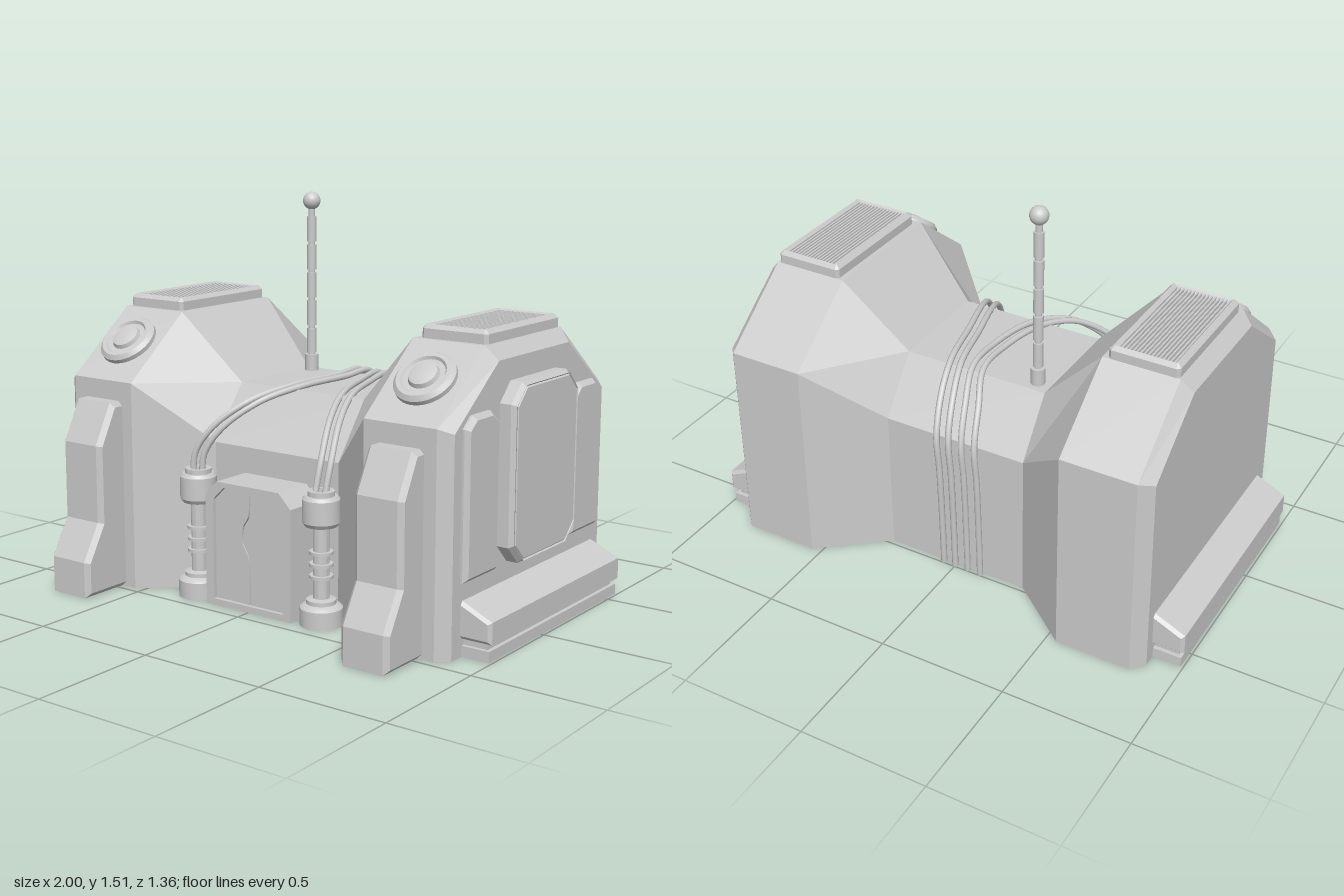
import * as THREE from 'three';
import { toCreasedNormals } from 'three/addons/utils/BufferGeometryUtils.js';

const mat = new THREE.MeshStandardMaterial({ color: 0xcccccc, side: THREE.DoubleSide });
const flat = new THREE.MeshStandardMaterial({ color: 0xcccccc, side: THREE.DoubleSide, flatShading: true });

function add(parent, name, geometry, pos = [0, 0, 0], material = mat) {
  const mesh = new THREE.Mesh(geometry, material);
  mesh.name = name;
  mesh.position.set(...pos);
  parent.add(mesh);
  return mesh;
}

const v2 = (pts) => pts.map(([x, y]) => new THREE.Vector2(x, y));

// Extruded outline with chamfered rims; spans z = -bevel .. depth
function slab(pts, depth, bevel = 0, holes = []) {
  const shape = new THREE.Shape(v2(pts));
  for (const h of holes) shape.holes.push(new THREE.Path(v2(h)));
  return new THREE.ExtrudeGeometry(shape, {
    depth: depth - bevel, bevelEnabled: bevel > 0, bevelSegments: 1,
    bevelSize: bevel, bevelThickness: bevel, bevelOffset: -bevel,
  });
}

const rect = (x0, y0, x1, y1) => [[x0, y0], [x1, y0], [x1, y1], [x0, y1]];

// Rectangle with four cut corners
const cutRect = (x0, y0, x1, y1, c) => [[x0 + c, y0], [x1 - c, y0], [x1, y0 + c], [x1, y1 - c],
  [x1 - c, y1], [x0 + c, y1], [x0, y1 - c], [x0, y0 + c]];

const lathe = (pts, segments = 32) => toCreasedNormals(new THREE.LatheGeometry(v2(pts), segments), 0.5);

// Shell lofted along x from (z, y) profiles, open underneath
function bodyGeometry() {
  const end = [[0.43, 0], [0.43, 0.79], [0.15, 1.0], [-0.35, 1.0], [-0.63, 0.79], [-0.63, 0]];
  const tower = [[0.47, 0], [0.47, 0.81], [0.17, 1.05], [-0.37, 1.05], [-0.68, 0.81], [-0.68, 0]];
  const waist = [[0.27, 0], [0.27, 0.58], [0.11, 0.79], [-0.32, 0.79], [-0.48, 0.58], [-0.48, 0]];
  const half = [[0.29, waist], [0.54, tower], [0.835, tower], [0.88, end]];
  const sections = [...half.map(([x, p]) => [-x, p]).reverse(), ...half];
  const rings = sections.map(([x, p]) => p.map(([z, y]) => [x, y, z]));
  const out = [];
  const tri = (a, b, c) => out.push(...a, ...b, ...c);
  for (let i = 0; i < rings.length - 1; i++) {
    const p = rings[i], q = rings[i + 1];
    for (let k = 0; k < p.length - 1; k++) {
      tri(p[k], q[k], q[k + 1]);
      tri(p[k], q[k + 1], p[k + 1]);
    }
  }
  const first = rings[0], last = rings[rings.length - 1];
  for (let k = 1; k < first.length - 1; k++) {
    tri(first[0], first[k], first[k + 1]);
    tri(last[0], last[k + 1], last[k]);
  }
  const g = new THREE.BufferGeometry();
  g.setAttribute('position', new THREE.Float32BufferAttribute(out, 3));
  g.computeVertexNormals();
  return g;
}

function roofVent(x) {
  const g = new THREE.Group();
  g.name = 'roofVent';
  const frame = slab(cutRect(-0.135, -0.26, 0.135, 0.26, 0.012), 0.05, 0.015, [rect(-0.1, -0.23, 0.1, 0.23)]);
  add(g, 'ventFrame', frame.rotateX(-Math.PI / 2));
  add(g, 'ventFloor', new THREE.BoxGeometry(0.24, 0.02, 0.48), [0, 0.015, 0]);
  for (let i = 0; i < 16; i++)
    add(g, 'ventSlat', new THREE.BoxGeometry(0.007, 0.025, 0.48), [-0.105 + i * 0.014, 0.032, 0]);
  g.position.set(x, 1.05, -0.11);
  return g;
}

function sideSkirt(side) {
  const g = new THREE.Group();
  g.name = 'sideSkirt';
  const L = 0.965;
  add(g, 'skirtBase', new THREE.BoxGeometry(0.13, 0.04, L - 0.02), [0.925, 0.02, 0]);
  add(g, 'skirtGroove', new THREE.BoxGeometry(0.11, 0.03, L - 0.05), [0.92, 0.05, 0]);
  const top = slab([[0.85, 0.065], [1, 0.065], [1, 0.145], [0.88, 0.2], [0.85, 0.2]], L - 0.012, 0.012);
  add(g, 'skirtTop', top, [0, 0, -L / 2 + 0.012]);
  g.position.z = -0.107;
  if (side < 0) g.rotation.y = Math.PI;
  return g;
}

function pillar(x) {
  const g = new THREE.Group();
  g.name = 'pillar';
  add(g, 'pillarShaft', lathe([[0.08, 0], [0.08, 0.065], [0.07, 0.075], [0.055, 0.08], [0.055, 0.095],
    [0.03, 0.1], [0.03, 0.37], [0.06, 0.37], [0.07, 0.385], [0.07, 0.47], [0.06, 0.482],
    [0.05, 0.482], [0.05, 0.5], [0.03, 0.5], [0.03, 0.485], [0, 0.485]]));
  for (const y of [0.18, 0.225, 0.27])
    add(g, 'pillarRing', new THREE.CylinderGeometry(0.044, 0.044, 0.012, 24), [0, y, 0]);
  g.position.set(x, 0, 0.375);
  return g;
}

function doorway() {
  const g = new THREE.Group();
  g.name = 'doorway';
  const arch = (w, y0, y1, c) => [[-w, y0], [w, y0], [w, y1 - c], [w - c, y1], [c - w, y1], [-w, y1 - c]];
  add(g, 'doorFrame', slab(arch(0.2, 0, 0.48, 0.055), 0.2, 0, [arch(0.163, 0.025, 0.46, 0.05)]), [0, 0, 0.24]);
  // Two leaves meeting along a wavy seam
  const seam = new THREE.SplineCurve(v2([[0, 0.025], [-0.002, 0.17], [-0.012, 0.22], [-0.034, 0.26],
    [-0.03, 0.32], [-0.006, 0.36], [0, 0.41], [0, 0.46]])).getPoints(24);
  for (const s of [-1, 1]) {
    const edge = seam.map((p) => [p.x + s * 0.003, p.y]);
    const leaf = [...edge, [s * 0.113, 0.46], [s * 0.163, 0.41], [s * 0.163, 0.025]];
    add(g, 'doorLeaf', slab(leaf, 0.16), [0, 0, 0.265]);
  }
  add(g, 'doorBacking', new THREE.BoxGeometry(0.3, 0.4, 0.1), [0, 0.23, 0.35]);
  return g;
}

// Honeycomb window and shutters on the left wall; local x is -z
function wallPanels() {
  const g = new THREE.Group();
  g.name = 'wallPanels';
  add(g, 'windowFrame', slab(cutRect(-0.14, 0.27, 0.32, 0.92, 0.07), 0.065, 0.02,
    [cutRect(-0.11, 0.3, 0.29, 0.89, 0.055)]));
  const holes = [];
  for (const u of [-0.01, 0.19])
    for (const y of [0.4, 0.597, 0.794]) holes.push(cutRect(u - 0.088, y - 0.088, u + 0.088, y + 0.088, 0.052));
  for (const y of [0.498, 0.696])
    holes.push([[0.09, y - 0.055], [0.145, y], [0.09, y + 0.055], [0.035, y]]);
  add(g, 'windowLattice', slab(cutRect(-0.125, 0.285, 0.305, 0.905, 0.06), 0.052, 0.004, holes));
  add(g, 'windowPane', slab(cutRect(-0.12, 0.29, 0.3, 0.9, 0.06), 0.035));
  for (const u of [-0.383, 0.367]) {
    const w = 0.215;
    add(g, 'shutter', slab([[u, 0.265], [u + w, 0.265], [u + w, 0.8], [u + w - 0.05, 0.84],
      [u + 0.05, 0.84], [u, 0.8]], 0.025, 0.016));
  }
  g.rotation.y = Math.PI / 2;
  g.position.x = 0.88;
  return g;
}

function antenna() {
  const g = new THREE.Group();
  g.name = 'antenna';
  add(g, 'antennaBase', new THREE.CylinderGeometry(0.027, 0.027, 0.075, 20), [0, 0.818, 0]);
  add(g, 'antennaCore', new THREE.CylinderGeometry(0.013, 0.013, 0.6, 16), [0, 1.15, 0]);
  for (let i = 0; i < 5; i++)
    add(g, 'antennaSegment', new THREE.CylinderGeometry(0.019, 0.019, 0.1, 16), [0, 0.912 + i * 0.112, 0]);
  add(g, 'antennaBall', new THREE.SphereGeometry(0.035, 24, 16), [0, 1.472, 0]);
  g.position.set(-0.235, 0, -0.27);
  return g;
}

export function createModel() {
  const model = new THREE.Group();
  model.name = 'outpostBuilding';
  add(model, 'bodyShell', bodyGeometry(), [0, 0, 0], flat);

  const lamp = lathe([[0.115, -0.02], [0.115, 0.015], [0.1, 0.03], [0.085, 0.03], [0.078, 0.02],
    [0.058, 0.02], [0.052, 0.035], [0.035, 0.04], [0, 0.04]], 36);
  const buttress = slab([[-0.42, 0], [-0.68, 0], [-0.68, 0.14], [-0.6, 0.28], [-0.6, 0.58], [-0.52, 0.735],
    [-0.42, 0.735]], 0.18, 0.018).rotateY(Math.PI / 2);
  for (const s of [-1, 1]) {
    model.add(roofVent(s * 0.695), sideSkirt(s), pillar(s * 0.29));
    add(model, 'roofLamp', lamp, [s * 0.69, 0.937, 0.315]).rotation.x = 0.675;
    add(model, 'frontButtress', buttress, [s * 0.687 - 0.081, 0, 0]);
  }
  model.add(doorway(), wallPanels(), antenna());

  // Cables from the pillars over the roof and down the back
  const left = [[-0.29, 0.47, 0.38], [-0.28, 0.56, 0.375], [-0.22, 0.66, 0.34], [-0.12, 0.755, 0.24],
    [-0.04, 0.8, 0.08], [0, 0.81, -0.14], [-0.01, 0.808, -0.32]];
  const right = [[0.285, 0.47, 0.38], [0.285, 0.6, 0.34], [0.255, 0.72, 0.25], [0.2, 0.79, 0.1],
    [0.14, 0.808, -0.1], [0.085, 0.805, -0.32]];
  const cables = [[left, -0.022, -0.115], [left, 0.022, -0.06], [right, -0.022, -0.005], [right, 0.022, 0.045]];
  for (const [path, shift, x] of cables) {
    const pts = path.map(([px, y, z]) => [px + shift, y, z]);
    pts.push([x + 0.035, 0.725, -0.435], [x + 0.01, 0.6, -0.512], [x, 0.45, -0.515], [x, 0.2, -0.505], [x, 0.01, -0.5]);
    const curve = new THREE.CatmullRomCurve3(pts.map((p) => new THREE.Vector3(...p)));
    add(model, 'cable', new THREE.TubeGeometry(curve, 80, 0.012, 8));
  }
  return model;
}
